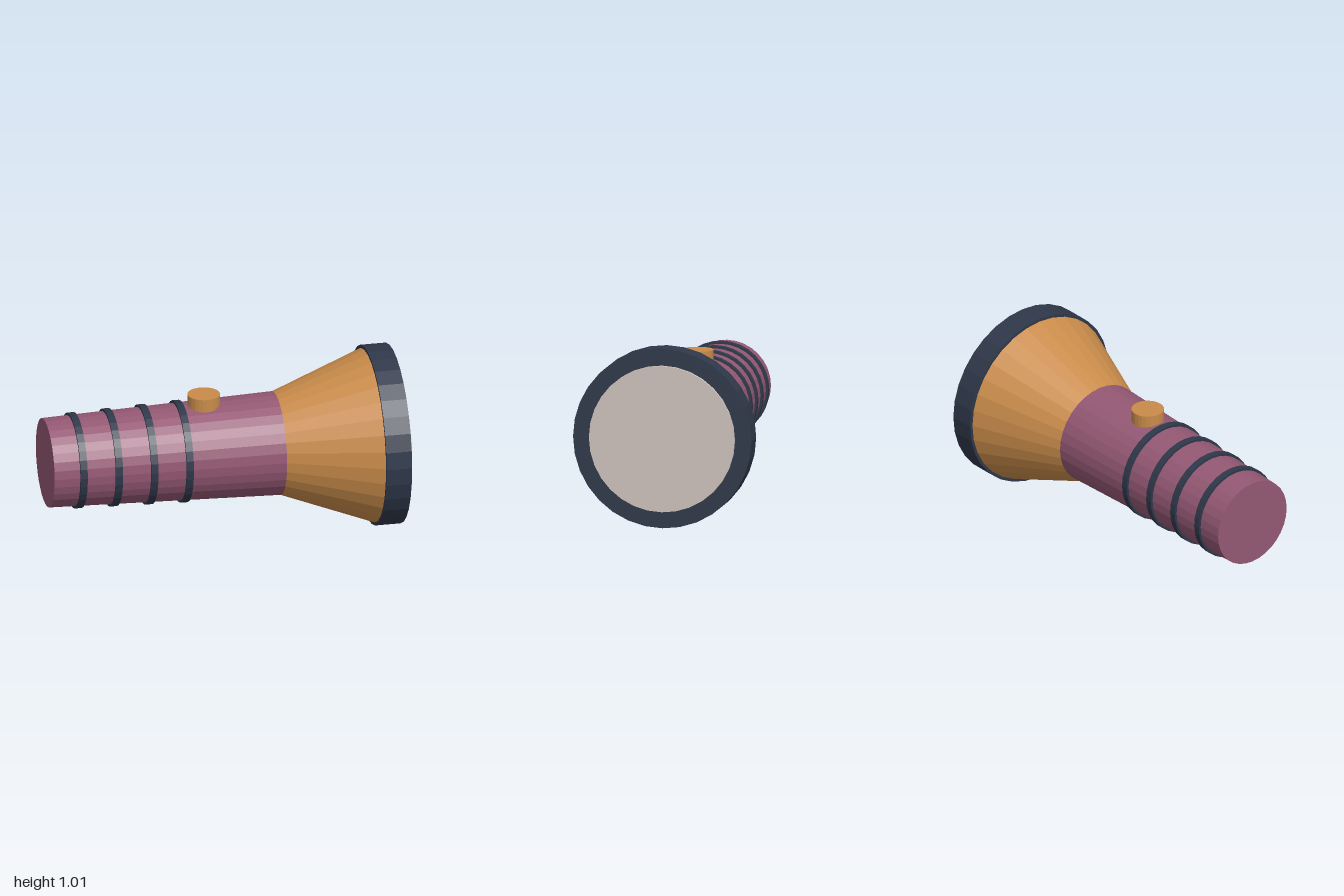
import * as THREE from 'three';

const AXIS_Y = 0.506;
const SIDES = 32;

function material(name, color) {
  const m = new THREE.MeshStandardMaterial({ color });
  m.name = name;
  m.flatShading = true;
  return m;
}

export function createModel() {
  const plum = material('plum', 0x945873);
  const amber = material('amber', 0xc98b4a);
  const navy = material('navy', 0x2f384a);
  const lensGrey = material('warm grey', 0xd0c5be);

  const model = new THREE.Group();
  model.name = 'flashlight';

  // Round section along x, from x0 (radius r0) to x1 (radius r1)
  function section(name, mat, x0, x1, r0, r1) {
    const geometry = new THREE.CylinderGeometry(r1, r0, x1 - x0, SIDES);
    geometry.rotateZ(-Math.PI / 2);
    const mesh = new THREE.Mesh(geometry, mat);
    mesh.name = name;
    mesh.position.set((x0 + x1) / 2, AXIS_Y, 0);
    model.add(mesh);
  }

  // Tapered handle, flared head, bezel and lens
  const handleRadius = (x) => 0.25 + (0.04 * (x + 1)) / 1.315;
  section('handle', plum, -1, 0.315, 0.25, 0.29);
  section('head', amber, 0.315, 0.845, 0.29, 0.492);
  section('bezel', navy, 0.835, 0.98, 0.505, 0.505);
  section('lens', lensGrey, 0.97, 1, 0.412, 0.412);

  // Grip rings follow the handle taper
  for (let i = 0; i < 4; i++) {
    const x = -0.835 + i * 0.2;
    const r = handleRadius(x) + 0.013;
    section('gripRing' + (i + 1), navy, x - 0.02, x + 0.02, r, r);
  }

  // Switch button sunk into the top of the handle
  const button = new THREE.Mesh(new THREE.CylinderGeometry(0.091, 0.091, 0.1, 24), amber);
  button.name = 'switchButton';
  button.position.set(-0.098, 0.792, 0);
  model.add(button);

  return model;
}
